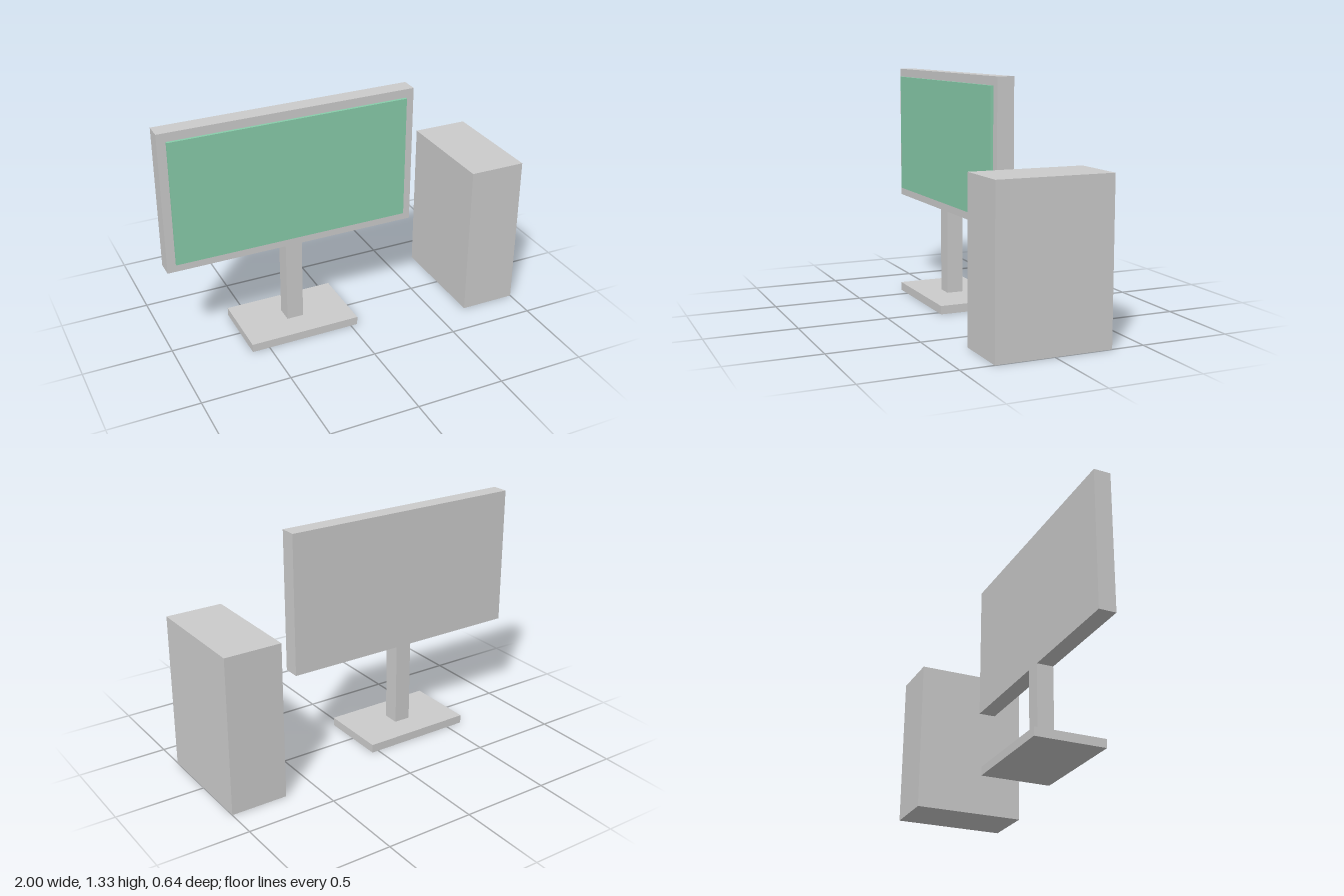
import * as THREE from 'three';

const grey = new THREE.MeshStandardMaterial({ color: 0xcccccc });
const green = new THREE.MeshStandardMaterial({ color: 0x88ccaa });

// Box standing on height y, centred on x and z
function box(name, [w, h, d], [x, y, z], material = grey) {
  const mesh = new THREE.Mesh(new THREE.BoxGeometry(w, h, d), material);
  mesh.name = name;
  mesh.position.set(x, y + h / 2, z);
  return mesh;
}

export function createModel() {
  const model = new THREE.Group();
  model.name = 'desktopComputer';

  // Monitor on its stand
  const monitor = new THREE.Group();
  monitor.name = 'monitor';
  monitor.position.x = -0.28;
  monitor.add(
    box('standBase', [0.64, 0.048, 0.4], [0, 0, 0]),
    box('standNeck', [0.096, 0.48, 0.096], [0, 0.048, 0]),
    box('monitorCasing', [1.44, 0.8, 0.096], [0, 0.528, 0]),
    box('screen', [1.344, 0.704, 0.016], [0, 0.576, 0.056], green),
  );

  // Computer case beside it
  model.add(monitor, box('computerTower', [0.32, 0.88, 0.64], [0.84, 0, 0]));
  return model;
}
